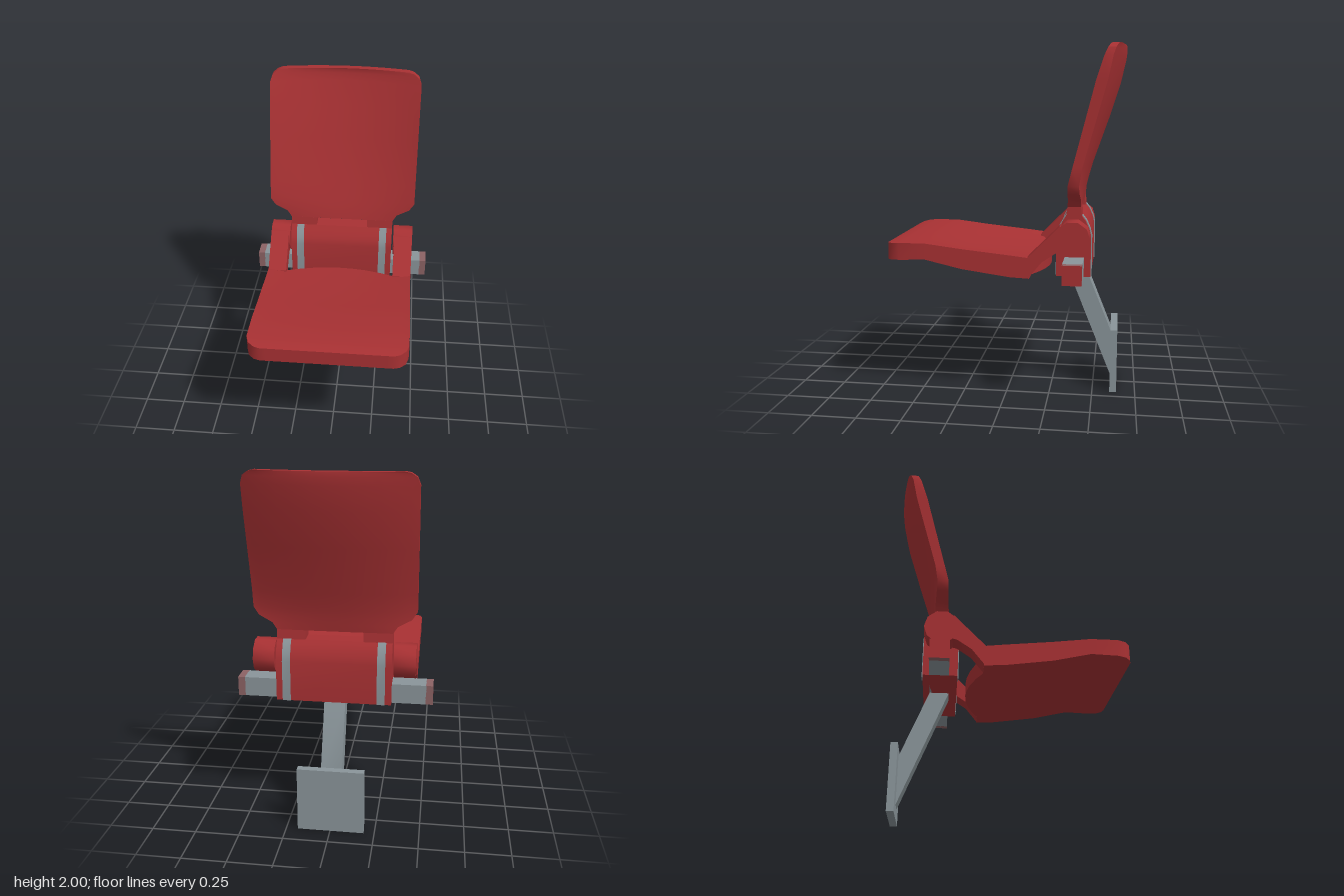
import * as THREE from 'three';
import { toCreasedNormals } from 'three/addons/utils/BufferGeometryUtils.js';

const mat = (name, color) => {
  const m = new THREE.MeshStandardMaterial({ color });
  m.name = name;
  return m;
};

// Closed curved panel: each row is a list of upper points (left to right) and lower points
function panel(rows) {
  const n = rows[0].upper.length, ring = 2 * n;
  const pos = [], idx = [];
  for (const r of rows) {
    for (const p of r.upper) pos.push(...p);
    for (const p of [...r.lower].reverse()) pos.push(...p);
  }
  for (let r = 0; r < rows.length - 1; r++) {
    for (let i = 0; i < ring; i++) {
      const a = r * ring + i, b = r * ring + (i + 1) % ring;
      idx.push(a, b, a + ring, b, b + ring, a + ring);
    }
  }
  const last = (rows.length - 1) * ring;
  for (let i = 0; i < n - 1; i++) {
    const t = i, u = i + 1, b = ring - 1 - i, c = ring - 2 - i;
    idx.push(t, b, c, t, c, u);
    idx.push(last + t, last + c, last + b, last + t, last + u, last + c);
  }
  const g = new THREE.BufferGeometry();
  g.setAttribute('position', new THREE.Float32BufferAttribute(pos, 3));
  g.setIndex(idx);
  return toCreasedNormals(g, 0.6);
}

// Side profile of [z, y] points, extruded from x0 to x1
function sideExtrude(points, x0, x1) {
  const shape = new THREE.Shape(points.map(([z, y]) => new THREE.Vector2(-z, y)));
  const g = new THREE.ExtrudeGeometry(shape, { depth: x1 - x0, bevelEnabled: false });
  g.rotateY(Math.PI / 2);
  g.translate(x0, 0, 0);
  return toCreasedNormals(g, 0.6);
}

export function createModel() {
  const model = new THREE.Group();
  const red = mat('red plastic', 0xa83133);
  const grey = mat('grey metal', 0x8a959a);
  const capTint = mat('cap side', 0x8c6264);

  const add = (name, geo, material, x = 0, y = 0, z = 0) => {
    const m = new THREE.Mesh(geo, material);
    m.name = name;
    m.position.set(x, y, z);
    model.add(m);
    return m;
  };

  const half = [0.18, 0.36, 0.58, 0.756, 0.9, 1];
  const cols = [...half.map(v => -v).reverse(), 0, ...half];

  // Seat: z, half width, top, bottom, centre dip
  const seatRows = [
    [0.663, 0.37, 0.9, 0.81, 0],
    [0.652, 0.405, 0.903, 0.81, 0],
    [0.625, 0.435, 0.908, 0.812, 0],
    [0.58, 0.45, 0.911, 0.815, 0],
    [0.43, 0.45, 0.911, 0.82, 0.005],
    [0.22, 0.45, 0.885, 0.772, 0.015],
    [-0.05, 0.45, 0.857, 0.735, 0.025],
    [-0.155, 0.45, 0.845, 0.73, 0.032],
  ];
  add('seat', panel(seatRows.map(([z, w, top, bottom, dip], r) => {
    const rear = r === seatRows.length - 1;
    const upper = [], lower = [];
    for (const s of cols) {
      const x = s * w;
      const bow = 1 - Math.min(1, Math.abs(x) / 0.34) ** 2;
      const pz = rear ? z - 0.085 * bow : z;
      upper.push([x, top - dip * (1 - s * s), pz]);
      lower.push([x, bottom, pz]);
    }
    return { upper, lower };
  })), red);

  // Backrest: y, half width, front z, back z, centre depth
  const backRows = [
    [1.115, 0.32, -0.353, -0.428, 0],
    [1.155, 0.345, -0.353, -0.425, 0.01],
    [1.195, 0.42, -0.356, -0.422, 0.02],
    [1.24, 0.45, -0.36, -0.422, 0.03],
    [1.34, 0.45, -0.385, -0.438, 0.042],
    [1.6, 0.45, -0.452, -0.51, 0.06],
    [1.8, 0.45, -0.503, -0.565, 0.068],
    [1.93, 0.45, -0.545, -0.592, 0.07],
    [1.972, 0.435, -0.56, -0.602, 0.065],
    [1.993, 0.405, -0.566, -0.607, 0.06],
    [2.0, 0.375, -0.57, -0.612, 0.054],
  ];
  add('backrest', panel(backRows.map(([y, w, front, back, depth]) => {
    const upper = [], lower = [];
    for (const s of cols) {
      const x = s * w, d = depth * (1 - (x / 0.45) ** 2);
      upper.push([x, y, front - d]);
      lower.push([x, y, back - d]);
    }
    return { upper, lower };
  })), red);

  // Central hinge housing, with two necks that leave the slot below the backrest
  const housing = [
    [-0.293, 0.72], [-0.485, 0.72], [-0.485, 0.95], [-0.475, 0.99], [-0.455, 1.035],
    [-0.432, 1.065], [-0.346, 1.065], [-0.325, 1.03], [-0.303, 0.99], [-0.293, 0.95],
  ];
  add('hingeHousing', sideExtrude(housing, -0.32, 0.32), red);
  const neck = [[-0.346, 1.06], [-0.434, 1.06], [-0.428, 1.116], [-0.353, 1.116]];
  const stripe = housing.map(([z, y]) => [z + (z > -0.389 ? 0.005 : -0.005), y]);

  // Wedge arm that joins the seat to its pivot
  const arm = [
    [-0.14, 0.84], [-0.32, 1.022], [-0.39, 1.02], [-0.39, 0.9], [-0.3, 0.875],
    [-0.222, 0.822], [-0.15, 0.732], [-0.14, 0.732],
  ];

  for (const side of [1, -1]) {
    const span = (pts, a, b) => side > 0 ? sideExtrude(pts, a, b) : sideExtrude(pts, -b, -a);
    add('backrestNeck', span(neck, 0.16, 0.32), red);
    add('hingeStripe', span(stripe, 0.24, 0.285), grey);
    add('seatArm', span(arm, 0.337, 0.45), red);

    const pivot = new THREE.CylinderGeometry(0.0975, 0.0975, 0.12, 10);
    pivot.rotateZ(Math.PI / 2);
    add('seatPivot', toCreasedNormals(pivot, 0.8), red, side * 0.39, 0.953, -0.388);

    // Beam end cap with a red outer face
    const cap = new THREE.BoxGeometry(0.04, 0.11, 0.108);
    add('beamCap', cap, [red, red, capTint, capTint, capTint, capTint], side * 0.528, 0.775, -0.394);
  }

  // Cross beam, slanted bracket and wall plate
  add('crossBeam', new THREE.BoxGeometry(1.02, 0.11, 0.108), grey, 0, 0.775, -0.394);
  const bracket = [[-0.335, 0.725], [-0.445, 0.725], [-0.605, 0.33], [-0.605, 0.058]];
  add('bracketLeg', sideExtrude(bracket, -0.062, 0.056), grey);
  add('wallPlate', new THREE.BoxGeometry(0.375, 0.375, 0.04), grey, -0.003, 0.1875, -0.622);

  return model;
}
